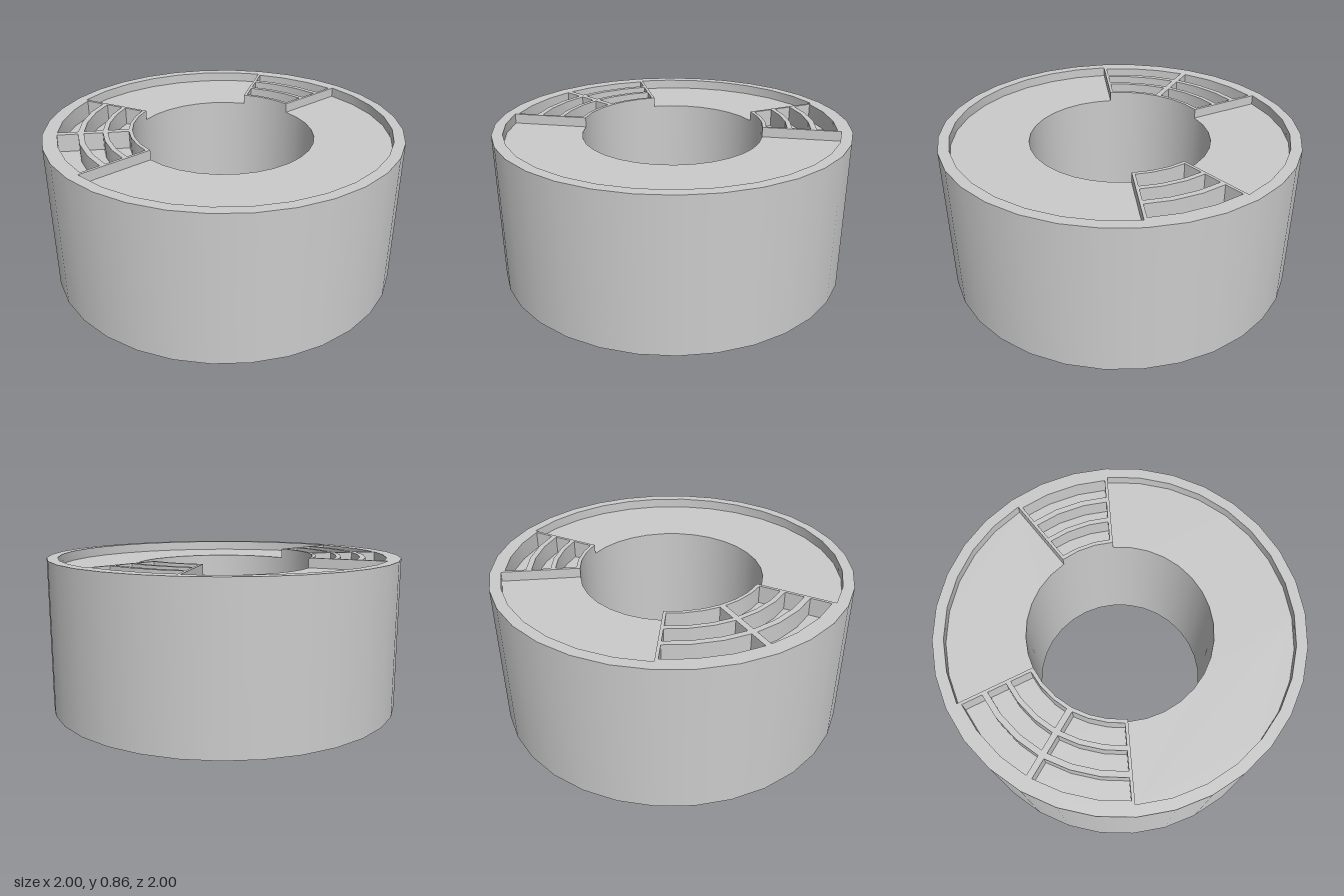
import * as THREE from 'three';
import { toCreasedNormals } from 'three/addons/utils/BufferGeometryUtils.js';

const STEP = Math.PI / 16;            // the ring has 32 sides; angles are counted in sides
const R_OUT = 1, R_RIM = 0.94, R_BORE = 0.51;
const TOP = 0.855, FLOOR = 0.8, CELL_FLOOR = 0.755;
const RIB = 0.0165;                   // half thickness of the radial ribs

// Angle runs from +x towards +z; points are (x, z)
const polar = (r, a) => new THREE.Vector2(r * Math.cos(a), r * Math.sin(a));

// Arc between two side numbers, optionally inset from both ends
function arc(r, k0, k1, inset = 0) {
  const d = Math.asin(inset / r);
  const pts = [];
  for (let k = k0; k <= k1; k++) {
    pts.push(polar(r, k * STEP + (k === k0 ? d : k === k1 ? -d : 0)));
  }
  return pts;
}

const sector = (rIn, rOut, k0, k1, inset) =>
  [...arc(rOut, k0, k1, inset), ...arc(rIn, k0, k1, inset).reverse()];

export function createModel() {
  const group = new THREE.Group();
  const material = new THREE.MeshStandardMaterial({ color: 0xcccccc, side: THREE.DoubleSide });

  function add(name, geometry) {
    const mesh = new THREE.Mesh(geometry, material);
    mesh.name = name;
    group.add(mesh);
  }

  // Flat horizontal face with holes
  function cap(name, outline, holes, y, down = false) {
    const flip = pts => pts.map(p => new THREE.Vector2(p.x, -p.y));
    const shape = new THREE.Shape(flip(outline));
    shape.holes = holes.map(h => new THREE.Path(flip(h)));
    const geo = new THREE.ShapeGeometry(shape);
    geo.rotateX(down ? Math.PI / 2 : -Math.PI / 2);
    add(name, geo.translate(0, y, 0));
  }

  // Upright wall along a path, facing into the pocket it encloses
  function wall(name, pts, y0, y1) {
    const pos = [];
    for (let i = 0; i < pts.length - 1; i++) {
      const p = pts[i], q = pts[i + 1];
      pos.push(p.x, y1, p.y, q.x, y0, q.y, q.x, y1, q.y);
      pos.push(p.x, y1, p.y, p.x, y0, p.y, q.x, y0, q.y);
    }
    const geo = new THREE.BufferGeometry();
    geo.setAttribute('position', new THREE.Float32BufferAttribute(pos, 3));
    geo.computeVertexNormals();
    add(name, toCreasedNormals(geo, 0.5));
  }

  // Smooth curved wall; a falling profile faces the axis
  function curvedWall(name, r, yStart, yEnd, k0, k1) {
    const profile = [new THREE.Vector2(r, yStart), new THREE.Vector2(r, yEnd)];
    add(name, new THREE.LatheGeometry(profile, k1 - k0, Math.PI / 2 - k1 * STEP, (k1 - k0) * STEP));
  }

  const recesses = [[16, 23], [26, 42]];
  const blocks = [[23, 26], [10, 16]];
  const cellSpans = [[10, 13], [13, 16], [23, 26]];
  const cellRadii = [[0.53, 0.645], [0.672, 0.775], [0.807, 0.92]];

  // Ring body
  curvedWall('outerWall', R_OUT, 0, TOP, 0, 32);
  cap('base', arc(R_OUT, 0, 31), [arc(R_BORE, 0, 31)], 0, true);
  blocks.forEach(([a, b]) => curvedWall('boreWallAtBlock', R_BORE, TOP, 0, a, b));

  // Sunken floors, open towards the bore
  recesses.forEach(([a, b]) => {
    curvedWall('boreWallAtRecess', R_BORE, FLOOR, 0, a, b);
    cap('recessFloor', sector(R_BORE, R_RIM, a, b), [], FLOOR);
    wall('recessWall', [polar(R_BORE, a * STEP), ...arc(R_RIM, a, b), polar(R_BORE, b * STEP)], FLOOR, TOP);
  });

  // Pockets in the raised blocks
  const cells = cellSpans.flatMap(([a, b]) => cellRadii.map(([r0, r1]) => sector(r0, r1, a, b, RIB)));
  cells.forEach(pts => {
    cap('cellFloor', pts, [], CELL_FLOOR);
    wall('cellWall', [...pts, pts[0]], CELL_FLOOR, TOP);
  });

  // Rim and block tops share one face
  const opening = [
    ...arc(R_RIM, 16, 23), ...arc(R_BORE, 23, 26),
    ...arc(R_RIM, 26, 42), ...arc(R_BORE, 42, 48),
  ];
  cap('rimAndRibTops', arc(R_OUT, 0, 31), [opening, ...cells], TOP);

  return group;
}
